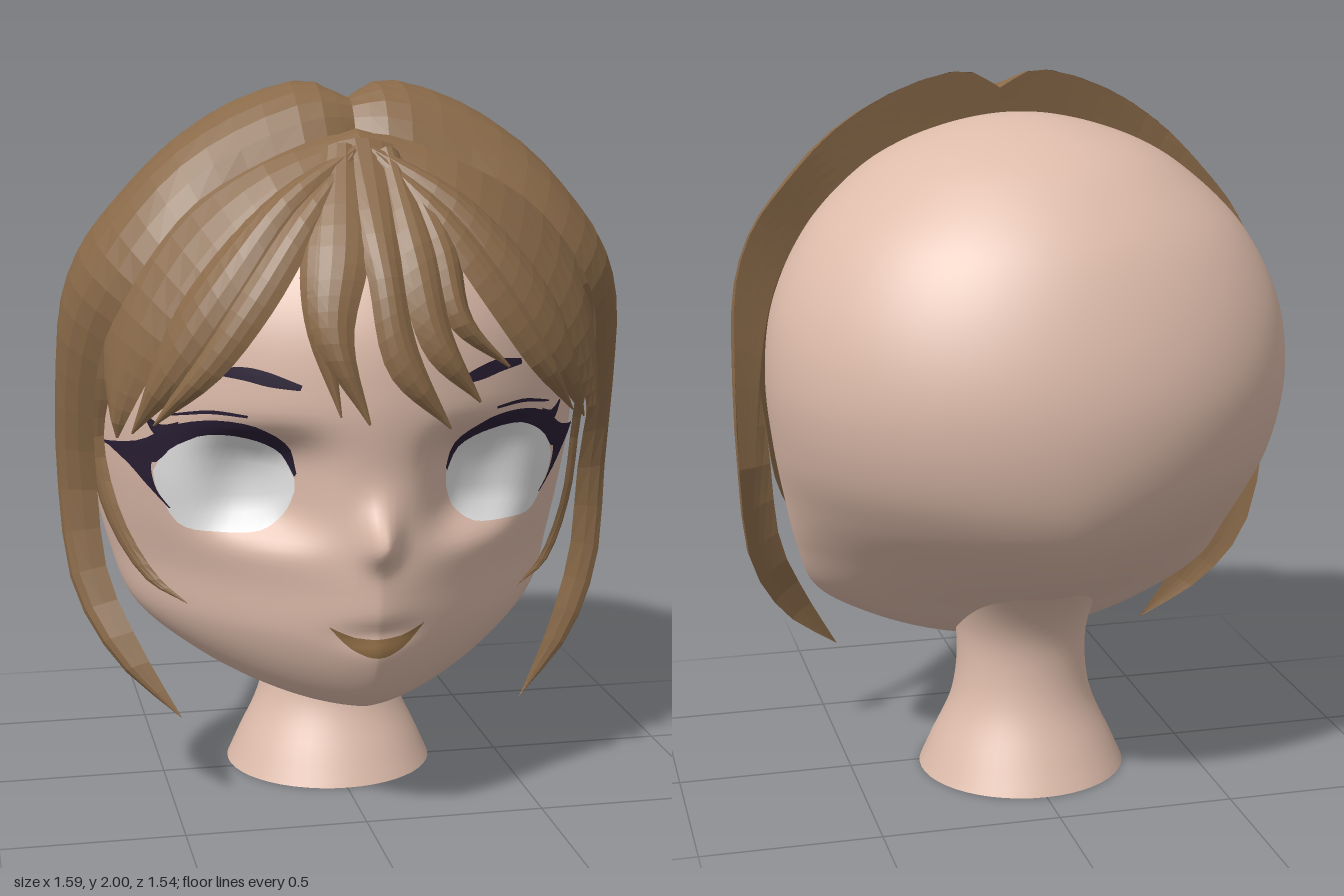
import * as THREE from 'three';

const V = (x, y, z) => new THREE.Vector3(x, y, z);
const skin = new THREE.MeshStandardMaterial({ color: 0xdebcab, side: THREE.DoubleSide });
const hair = new THREE.MeshStandardMaterial({ color: 0x8a6a49, flatShading: true, side: THREE.DoubleSide });
const eyeWhite = new THREE.MeshStandardMaterial({ color: 0xeeeeee, side: THREE.DoubleSide });
const lashDark = new THREE.MeshStandardMaterial({ color: 0x2a1f35, side: THREE.DoubleSide });
const lipBrown = new THREE.MeshStandardMaterial({ color: 0x8f6d45, side: THREE.DoubleSide });
Object.entries({ skin, hair, eyeWhite, lashDark, lipBrown }).forEach(([n, m]) => { m.name = n; });

// Grid of points grid[i][j] to an indexed geometry
function gridGeometry(grid, wrap) {
  const n = grid[0].length, idx = [];
  for (let i = 0; i < grid.length - 1; i++) {
    for (let j = 0; j < (wrap ? n : n - 1); j++) {
      const k = (j + 1) % n, a = i * n + j, b = i * n + k, c = b + n, d = a + n;
      idx.push(a, b, c, a, c, d);
    }
  }
  const g = new THREE.BufferGeometry().setFromPoints(grid.flat());
  g.setIndex(idx);
  g.computeVertexNormals();
  return g;
}

function mesh(name, geometry, material) {
  const m = new THREE.Mesh(geometry, material);
  m.name = name;
  return m;
}

// Loft of horizontal sections:
// [y, front z, back z, half width, z of widest point, back exponent, front exponent]
function loft(rows, cols, steps, sculpt) {
  const meridians = [];
  for (let j = 0; j < cols; j++) {
    const t = (j / cols) * Math.PI * 2, s = Math.sin(t), c = Math.cos(t);
    const pts = rows.map(([y, zf, zb, w, zw, back = 2, front = 2]) => {
      const e = 2 / (c > 0 ? front : back);
      const x = Math.sign(s) * w * Math.abs(s) ** e;
      return V(x, y, zw + (c > 0 ? zf - zw : zb - zw) * Math.abs(c) ** e);
    });
    meridians.push(new THREE.CatmullRomCurve3(pts));
  }
  const grid = [];
  for (let i = 0; i <= steps; i++) {
    grid.push(meridians.map((m) => {
      const p = m.getPoint(i / steps);
      if (sculpt) sculpt(p);
      return p;
    }));
  }
  return gridGeometry(grid, true);
}

const bump = (v, mid, r, power = 2) => Math.exp(-(Math.abs((v - mid) / r) ** power));

// Nose, eye sockets and mouth crease
function sculptFace(p) {
  if (p.z < 0.1) return;
  const x = Math.abs(p.x);
  p.z += 0.08 * bump(x, 0, 0.045) * bump(p.y, 0.83, p.y > 0.83 ? 0.085 : 0.055);
  p.z -= 0.11 * bump(x, 0.29, 0.14, 2.6) * bump(p.y, 0.965, 0.14, 4);
  p.z -= 0.02 * bump(x, 0, 0.1) * bump(p.y, 0.575, 0.035);
}

const headRows = [
  [0.31, 0.4, 0.4, 0.0005, 0.4, 2, 1.5], [0.335, 0.5, 0.12, 0.21, 0.28, 2, 1.45],
  [0.42, 0.59, -0.1, 0.415, 0.17, 1.6, 1.4], [0.55, 0.655, -0.3, 0.585, 0.06, 1.4, 1.4],
  [0.7, 0.67, -0.54, 0.645, 0, 1.45, 1.45], [0.85, 0.66, -0.685, 0.68, -0.04, 1.7, 1.65],
  [1.0, 0.655, -0.75, 0.71, -0.09, 1.9, 1.82], [1.2, 0.675, -0.775, 0.73, -0.12, 2, 1.85],
  [1.4, 0.655, -0.74, 0.705, -0.12, 2, 1.85], [1.6, 0.55, -0.65, 0.605, -0.1, 2, 1.9],
  [1.75, 0.385, -0.515, 0.455, -0.07], [1.82, 0.27, -0.41, 0.345, -0.07],
  [1.87, 0.145, -0.28, 0.215, -0.065], [1.897, 0.03, -0.15, 0.095, -0.06],
  [1.905, -0.06, -0.06, 0.0005, -0.06],
];
const neckRows = [
  [0, 0.24, -0.36, 0.3, -0.06], [0.08, 0.2, -0.32, 0.265, -0.06],
  [0.2, 0.14, -0.265, 0.21, -0.06], [0.3, 0.125, -0.245, 0.19, -0.06],
  [0.41, 0.12, -0.25, 0.19, -0.06], [0.5, 0.1, -0.29, 0.205, -0.08],
  [0.6, 0.08, -0.378, 0.24, -0.1], [0.7, 0.05, -0.5, 0.3, -0.15],
];

// Thin plate between two front-view edges, laid on the face
function facePlate(head, name, top, bottom, material, side = 1, lift = 0.006) {
  const curve = (pts) => new THREE.SplineCurve(pts.map(([x, y]) => new THREE.Vector2(x * side, y)));
  const a = curve(top), b = curve(bottom), ray = new THREE.Raycaster(), grid = [];
  for (let i = 0; i <= 6; i++) {
    const row = [];
    for (let j = 0; j <= 20; j++) {
      const q = b.getPoint(j / 20).lerp(a.getPoint(j / 20), i / 6);
      ray.set(V(q.x, q.y, 3), V(0, 0, -1));
      const hit = ray.intersectObject(head)[0];
      row.push(hit ? hit.point.addScaledVector(hit.face.normal, lift) : V(q.x, q.y, 0.1));
    }
    grid.push(side < 0 ? row.reverse() : row);
  }
  return mesh(name, gridGeometry(grid, false), material);
}

// Hair lock lofted between two 3D edges, arched away from the head
function lock(name, edgeA, edgeB, thick, side = 1, steps = 16) {
  const curve = (pts) => new THREE.CatmullRomCurve3(pts.map(([x, y, z]) => V(x * side, y, z)));
  const a = curve(edgeA), b = curve(edgeB), grid = [], k = 5;
  for (let i = 0; i <= steps; i++) {
    const p = a.getPoint(i / steps), q = b.getPoint(i / steps), row = [];
    const bulge = Math.min(thick, p.distanceTo(q) * 0.35);
    for (let j = 0; j < 2 * k; j++) {
      const s = j <= k ? j / k : 2 - j / k;
      const v = p.clone().lerp(q, s);
      const out = V(v.x, v.y - Math.min(v.y, 1.2), v.z + 0.05).normalize();
      row.push(v.addScaledVector(out, bulge * Math.sin(Math.PI * s) * (j <= k ? 1 : 0.2)));
    }
    grid.push(row);
  }
  return mesh(name, gridGeometry(grid, true), hair);
}

// Front-view points placed on the rounded shell that the fringe follows
const onShell = (pts, lift = 0) => pts.map(([x, y]) => {
  const h = Math.max(y - 1.22, 0) / 0.747;
  return [x, y, Math.sqrt(Math.max(0.02, 1 - (x / 0.78) ** 2 - h * h)) * 0.785 - 0.05 + lift];
});

export function createModel() {
  const group = new THREE.Group();
  const head = mesh('head', loft(headRows, 144, 120, sculptFace), skin);
  group.add(head, mesh('neck', loft(neckRows, 48, 28), skin));

  // Mouth
  group.add(facePlate(head, 'mouth',
    [[-0.125, 0.6], [-0.06, 0.572], [0, 0.565], [0.06, 0.572], [0.125, 0.6]],
    [[-0.125, 0.598], [-0.07, 0.54], [0, 0.515], [0.07, 0.54], [0.125, 0.598]], lipBrown));

  for (const s of [1, -1]) {
    const p = s > 0 ? 'left' : 'right';
    const plate = (n, top, bottom, mat, lift) => group.add(facePlate(head, p + n, top, bottom, mat, s, lift));
    // Eye, lashes, lid crease and brow
    plate('Eye', [[0.2, 0.98], [0.23, 1.06], [0.32, 1.11], [0.43, 1.115], [0.51, 1.06], [0.55, 0.98]],
      [[0.2, 0.95], [0.225, 0.885], [0.29, 0.835], [0.4, 0.825], [0.49, 0.84], [0.545, 0.94]], eyeWhite);
    plate('UpperLash', [[0.195, 1.0], [0.22, 1.08], [0.3, 1.135], [0.4, 1.147], [0.5, 1.12], [0.58, 1.06], [0.665, 1.03]],
      [[0.2, 0.99], [0.24, 1.06], [0.32, 1.1], [0.42, 1.105], [0.5, 1.06], [0.555, 1.0], [0.66, 1.025]], lashDark, 0.009);
    plate('OuterLash', [[0.525, 1.06], [0.552, 1.0], [0.54, 0.93], [0.505, 0.88]],
      [[0.66, 1.03], [0.605, 0.985], [0.565, 0.94], [0.51, 0.88]], lashDark, 0.009);
    plate('LashSpike', [[0.49, 1.13], [0.53, 1.115], [0.565, 1.135]],
      [[0.5, 1.08], [0.545, 1.085], [0.57, 1.13]], lashDark, 0.009);
    plate('LidCrease', [[0.33, 1.165], [0.42, 1.17], [0.52, 1.145]],
      [[0.33, 1.158], [0.42, 1.16], [0.52, 1.14]], lashDark);
    plate('Brow', [[0.2, 1.25], [0.28, 1.28], [0.34, 1.29], [0.41, 1.28]],
      [[0.205, 1.236], [0.28, 1.243], [0.34, 1.256], [0.41, 1.265]], lashDark);

    // Large parted band that ends in the long side strand
    const bandBack = [[0, 1.95, 0.18], [0.1, 2, 0.17], [0.3, 1.95, 0.18], [0.48, 1.84, 0.19], [0.62, 1.7, 0.18],
      [0.72, 1.57, 0.17], [0.775, 1.42, 0.14], [0.79, 1.2, 0.1], [0.79, 0.9, 0.075]];
    group.add(lock(p + 'HairBand',
      [...bandBack, [0.755, 0.6, 0.13], [0.65, 0.41, 0.22], [0.485, 0.27, 0.315]],
      [[0, 1.87, 0.33], [0.1, 1.86, 0.37], [0.28, 1.79, 0.39], [0.44, 1.7, 0.42], [0.56, 1.57, 0.44], [0.63, 1.45, 0.42],
        [0.68, 1.32, 0.33], [0.7, 1.15, 0.24], [0.69, 0.9, 0.165], [0.665, 0.65, 0.18], [0.58, 0.45, 0.26], [0.483, 0.27, 0.315]],
      0.04, s, 26));
    // Back face of the band, reaching in to the scalp
    group.add(lock(p + 'HairBandRim', bandBack,
      [[0, 1.83, 0.205], [0.1, 1.83, 0.205], [0.27, 1.79, 0.21], [0.42, 1.7, 0.215], [0.54, 1.58, 0.215],
        [0.63, 1.46, 0.2], [0.68, 1.34, 0.17], [0.715, 1.17, 0.13], [0.74, 0.9, 0.1]], 0.005, s, 20));
    // Short strand in front of the ear
    group.add(lock(p + 'TempleLock',
      [[0.7, 1.45, 0.24], [0.72, 1.2, 0.16], [0.705, 1.0, 0.1], [0.67, 0.82, 0.14], [0.575, 0.66, 0.25], [0.467, 0.6, 0.33]],
      [[0.63, 1.45, 0.36], [0.655, 1.2, 0.26], [0.668, 1.02, 0.165], [0.625, 0.82, 0.22], [0.54, 0.67, 0.295], [0.465, 0.602, 0.33]],
      0.015, s));
    // Swept side fringe in three overlapping strands, rooted under the band
    group.add(lock(p + 'FringeUpper',
      onShell([[0, 1.88], [0.29, 1.82], [0.5, 1.7], [0.64, 1.48], [0.68, 1.25], [0.655, 1.08]]),
      onShell([[0, 1.82], [0.24, 1.7], [0.4, 1.54], [0.52, 1.36], [0.6, 1.2], [0.65, 1.08]]), 0.02, s));
    group.add(lock(p + 'FringeMiddle',
      onShell([[0.02, 1.84], [0.24, 1.73], [0.4, 1.58], [0.53, 1.39], [0.62, 1.1]]),
      onShell([[0.02, 1.8], [0.2, 1.66], [0.34, 1.46], [0.46, 1.28], [0.615, 1.1]]), 0.028, s));
    group.add(lock(p + 'FringeLower',
      onShell([[0.03, 1.83], [0.21, 1.69], [0.36, 1.5], [0.47, 1.32], [0.57, 1.13]]),
      onShell([[0.03, 1.79], [0.16, 1.62], [0.28, 1.44], [0.41, 1.27], [0.565, 1.13]]), 0.022, s));
  }

  // Centre fringe: edges in the front view and lift from the shell
  const centre = [
    ['fringeCentre', [[-0.09, 1.84], [-0.045, 1.55], [0, 1.29], [0.165, 1.14]],
      [[0.09, 1.84], [0.05, 1.55], [0.075, 1.36], [0.168, 1.145]], 0.015],
    ['fringeCentreRight', [[-0.11, 1.83], [-0.185, 1.58], [-0.185, 1.38], [-0.05, 1.16]],
      [[0, 1.83], [-0.03, 1.58], [-0.085, 1.38], [-0.045, 1.165]], 0.01],
    ['fringeTipRight', [[-0.1, 1.82], [-0.2, 1.58], [-0.2, 1.4], [-0.12, 1.18]],
      [[-0.03, 1.82], [-0.1, 1.58], [-0.13, 1.4], [-0.115, 1.18]], -0.005],
    ['fringeCentreLeft', [[0.03, 1.82], [0.04, 1.55], [0.1, 1.33], [0.25, 1.2]],
      [[0.1, 1.82], [0.15, 1.6], [0.17, 1.4], [0.255, 1.205]], 0.005],
    ['fringeTipLeft', [[0.06, 1.82], [0.12, 1.58], [0.17, 1.4], [0.34, 1.28]],
      [[0.1, 1.82], [0.21, 1.62], [0.235, 1.42], [0.345, 1.285]], -0.005],
  ];
  for (const [name, a, b, lift] of centre) group.add(lock(name, onShell(a, lift), onShell(b, lift), 0.025));
  return group;
}
